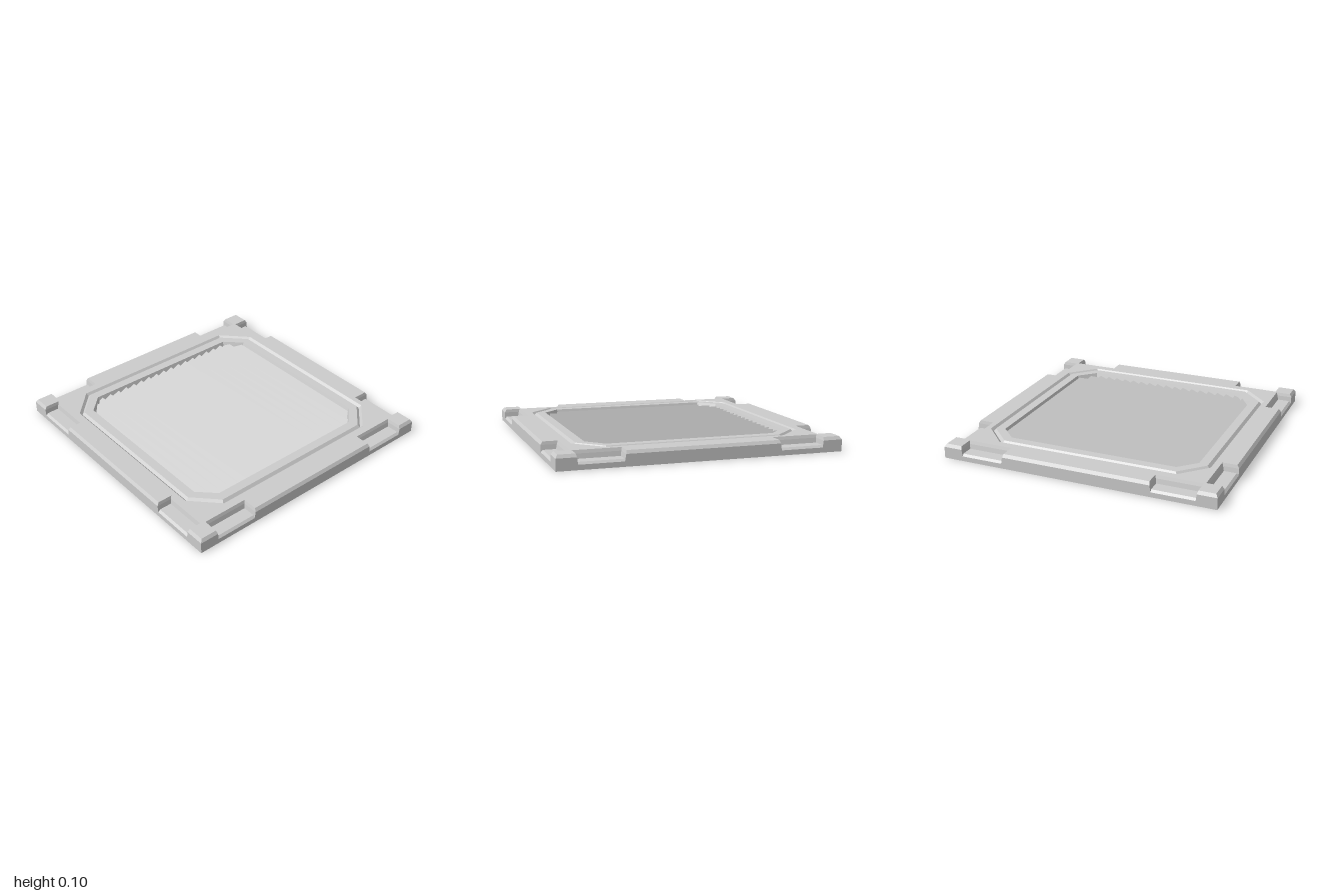
import * as THREE from 'three';

const mat = new THREE.MeshStandardMaterial({ color: 0xcccccc, flatShading: true });

function add(group, name, geo) {
  const mesh = new THREE.Mesh(geo, mat);
  mesh.name = name;
  group.add(mesh);
  return mesh;
}

// Skin between successive rows of [x, y, z] points
function loft(rows, closed) {
  const pos = [];
  for (let i = 0; i + 1 < rows.length; i++) {
    const n = rows[i].length;
    for (let j = 0; j < (closed ? n : n - 1); j++) {
      const k = (j + 1) % n;
      const a = rows[i][j], b = rows[i][k], c = rows[i + 1][k], d = rows[i + 1][j];
      pos.push(...a, ...b, ...c, ...a, ...c, ...d);
    }
  }
  const geo = new THREE.BufferGeometry();
  geo.setAttribute('position', new THREE.Float32BufferAttribute(pos, 3));
  geo.computeVertexNormals();
  return geo;
}

// Square outline with two notches per side: e = half size, d = notch back, a..b = notch span
function notched(y, e, d, a, b) {
  let quarter = [[e, a], [d, a], [d, b], [e, b], [e, e], [b, e], [b, d], [a, d], [a, e]];
  const ring = [];
  for (let k = 0; k < 4; k++) {
    ring.push(...quarter.map(([x, z]) => [x, y, z]));
    quarter = quarter.map(([x, z]) => [-z, x]);
  }
  return ring;
}

// Rectangle with cut corners: hx, hz = half sizes, cx, cz = where the cuts start
function octagon(y, hx, hz, cx, cz) {
  return [[hx, cz], [cx, hz], [-cx, hz], [-hx, cz], [-hx, -cz], [-cx, -hz], [cx, -hz], [hx, -cz]]
    .map(([x, z]) => [x, y, z]);
}

const flat = (ring) => ring.map(([x, , z]) => new THREE.Vector2(x, -z));

export function createModel() {
  const model = new THREE.Group();
  model.name = 'floorTile';
  const TOP = 0.105;

  // Base slab
  add(model, 'base', new THREE.BoxGeometry(2, 0.035, 2).translate(0, 0.0175, 0));

  // Notched rim with a bevelled top edge
  const rim = [
    notched(TOP, 0.985, 0.88, 0.535, 0.867),
    notched(0.083, 1, 0.888, 0.541, 0.861),
    notched(0.03, 1, 0.9, 0.55, 0.855),
  ];
  add(model, 'rimWalls', loft(rim, true));

  // Flat top between the rim and the groove
  const grooveOuter = octagon(TOP, 0.82, 0.84, 0.635, 0.66);
  const face = new THREE.Shape(flat(rim[0]));
  face.holes.push(new THREE.Path(flat(grooveOuter)));
  add(model, 'topFace', new THREE.ShapeGeometry(face).rotateX(-Math.PI / 2).translate(0, TOP, 0));

  // Recess wall, flat inner frame and V groove, from the inside out
  add(model, 'innerFrame', loft([
    octagon(0.055, 0.703, 0.723, 0.594, 0.611),
    octagon(TOP, 0.72, 0.74, 0.602, 0.62),
    octagon(TOP, 0.785, 0.805, 0.62, 0.643),
    octagon(0.086, 0.802, 0.822, 0.628, 0.652),
    grooveOuter,
  ], true));

  // Louvred floor: each slat falls gently to the front, then steps up
  const COUNT = 20, PITCH = 0.0727, START = -0.727;
  const slats = [];
  const row = (y, z) => {
    const w = Math.min(0.72, 1.385 - Math.abs(z));
    slats.push([[w, y, z], [-w, y, z]]);
  };
  for (let i = 0; i < COUNT; i++) {
    const z = START + i * PITCH;
    row(0.088, z);
    row(0.066, z + PITCH - 0.01);
  }
  row(0.088, START + COUNT * PITCH);
  add(model, 'louvres', loft(slats, false));

  // Notch floors with a bevelled outer edge, two on each side
  const profile = new THREE.Shape([[0.86, 0.03], [1, 0.03], [1, 0.035], [0.985, 0.05], [0.86, 0.05]]
    .map(([x, y]) => new THREE.Vector2(x, y)));
  for (let k = 0; k < 4; k++) {
    for (const z of [0.545, -0.86]) {
      const geo = new THREE.ExtrudeGeometry(profile, { depth: 0.315, bevelEnabled: false });
      add(model, 'notchFloor', geo.translate(0, 0, z).rotateY(k * Math.PI / 2));
    }
  }
  return model;
}
